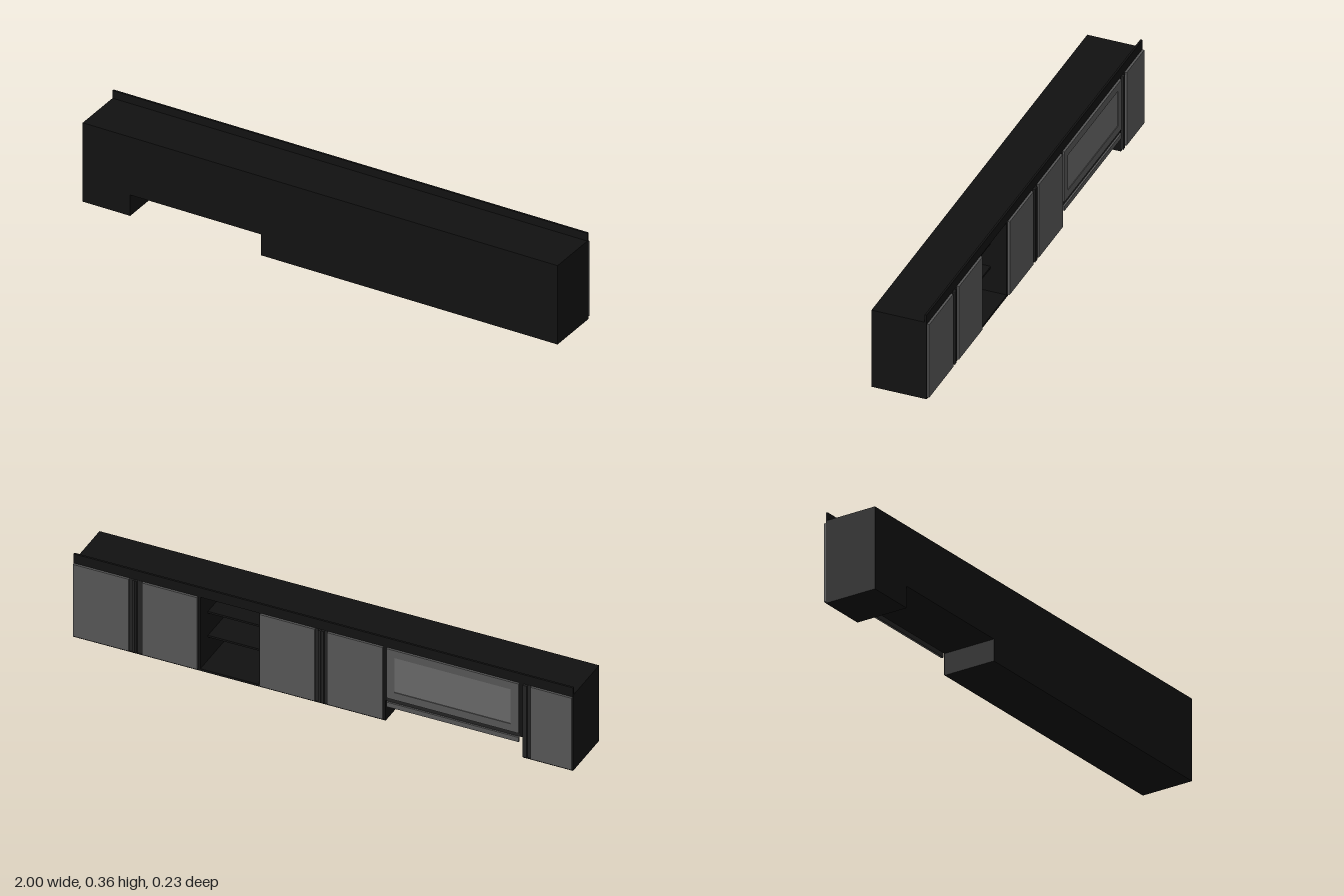
import * as THREE from 'three';

const FRONT = -0.103, BACK = 0.113, FACE = -0.112; // carcass front, carcass back, door face
const DOOR_LOW = 0.008, DOOR_HIGH = 0.32, TOP = 0.328, NOTCH = 0.087;

const black = new THREE.MeshStandardMaterial({ color: 0x111111 });
const dark = new THREE.MeshStandardMaterial({ color: 0x222222 });
const grey = new THREE.MeshStandardMaterial({ color: 0x555555 });
const pale = new THREE.MeshStandardMaterial({ color: 0x666666 });

// Box given by its limits on each axis
function block(parent, name, mat, x0, x1, y0, y1, z0, z1) {
  const mesh = new THREE.Mesh(new THREE.BoxGeometry(x1 - x0, y1 - y0, z1 - z0), mat);
  mesh.position.set((x0 + x1) / 2, (y0 + y1) / 2, (z0 + z1) / 2);
  mesh.name = name;
  parent.add(mesh);
  return mesh;
}

// Rectangular frame extruded along z
function frame(parent, name, mat, x0, x1, y0, y1, inset, z0, z1) {
  const rect = (path, d) => path.moveTo(x0 + d, y0 + d).lineTo(x1 - d, y0 + d)
    .lineTo(x1 - d, y1 - d).lineTo(x0 + d, y1 - d).closePath();
  const shape = rect(new THREE.Shape(), 0);
  shape.holes.push(rect(new THREE.Path(), inset));
  const mesh = new THREE.Mesh(
    new THREE.ExtrudeGeometry(shape, { depth: z1 - z0, bevelEnabled: false }), mat);
  mesh.position.z = z0;
  mesh.name = name;
  parent.add(mesh);
}

export function createModel() {
  const model = new THREE.Group();
  model.name = 'wallCabinets';

  // Carcass: closed units beside and above the notch
  const carcass = new THREE.Group();
  carcass.name = 'carcass';
  model.add(carcass);
  for (const [name, x0, x1, low] of [
    ['endUnit', -1, -0.8, 0], ['raisedUnit', -0.8, -0.25, NOTCH],
    ['middleUnit', -0.25, 0.258, 0], ['farUnit', 0.492, 1, 0],
  ]) block(carcass, name, black, x0, x1, low, TOP, FRONT, BACK);

  // Open unit with recessed shelves
  const open = new THREE.Group();
  open.name = 'openUnit';
  model.add(open);
  block(open, 'openBottom', black, 0.258, 0.492, 0, 0.009, FRONT, BACK);
  block(open, 'openTop', black, 0.258, 0.492, 0.319, TOP, FRONT, BACK);
  block(open, 'openBack', black, 0.258, 0.492, 0.009, 0.319, 0.105, BACK);
  for (const y of [0.112, 0.216])
    block(open, 'shelf', black, 0.258, 0.492, y - 0.004, y + 0.004, -0.04, 0.105);

  // Fascia strip standing above the top
  block(model, 'fascia', black, -1, 1, DOOR_HIGH, 0.36, FRONT, -0.095);

  // Doors: [outer edge, groove edge, lip start, lip end]
  for (const [edge, groove, lipIn, lipOut] of [
    [-0.998, -0.834, -0.818, -0.802],
    [-0.241, -0.02, -0.005, 0.004],
    [0.251, 0.03, 0.016, 0.006],
    [0.502, 0.722, 0.743, 0.75],
    [0.998, 0.775, 0.76, 0.752],
  ]) {
    const door = new THREE.Group();
    door.name = 'door';
    model.add(door);
    const span = (name, mat, a, b, z0) =>
      block(door, name, mat, Math.min(a, b), Math.max(a, b), DOOR_LOW, DOOR_HIGH, z0, FRONT);
    span('doorPanel', grey, edge, groove, FACE);
    span('gripChannel', dark, groove, lipIn, FRONT - 0.001);
    span('gripLip', dark, lipIn, lipOut, FACE);
  }

  // Raised flap with a sunken centre and a grip rail along its lower edge
  const flap = new THREE.Group();
  flap.name = 'flap';
  model.add(flap);
  const L = -0.786, R = -0.257;
  frame(flap, 'flapFrame', grey, L, R, 0.106, DOOR_HIGH, 0.032, FACE, FRONT);
  block(flap, 'flapGlass', pale, L + 0.032, R - 0.032, 0.138, DOOR_HIGH - 0.032, -0.109, FRONT);
  block(flap, 'flapChannel', dark, L, R, 0.068, 0.106, FRONT - 0.002, FRONT);
  block(flap, 'flapGrip', grey, L, R, 0.068, 0.088, FACE, FRONT - 0.002);

  return model;
}
